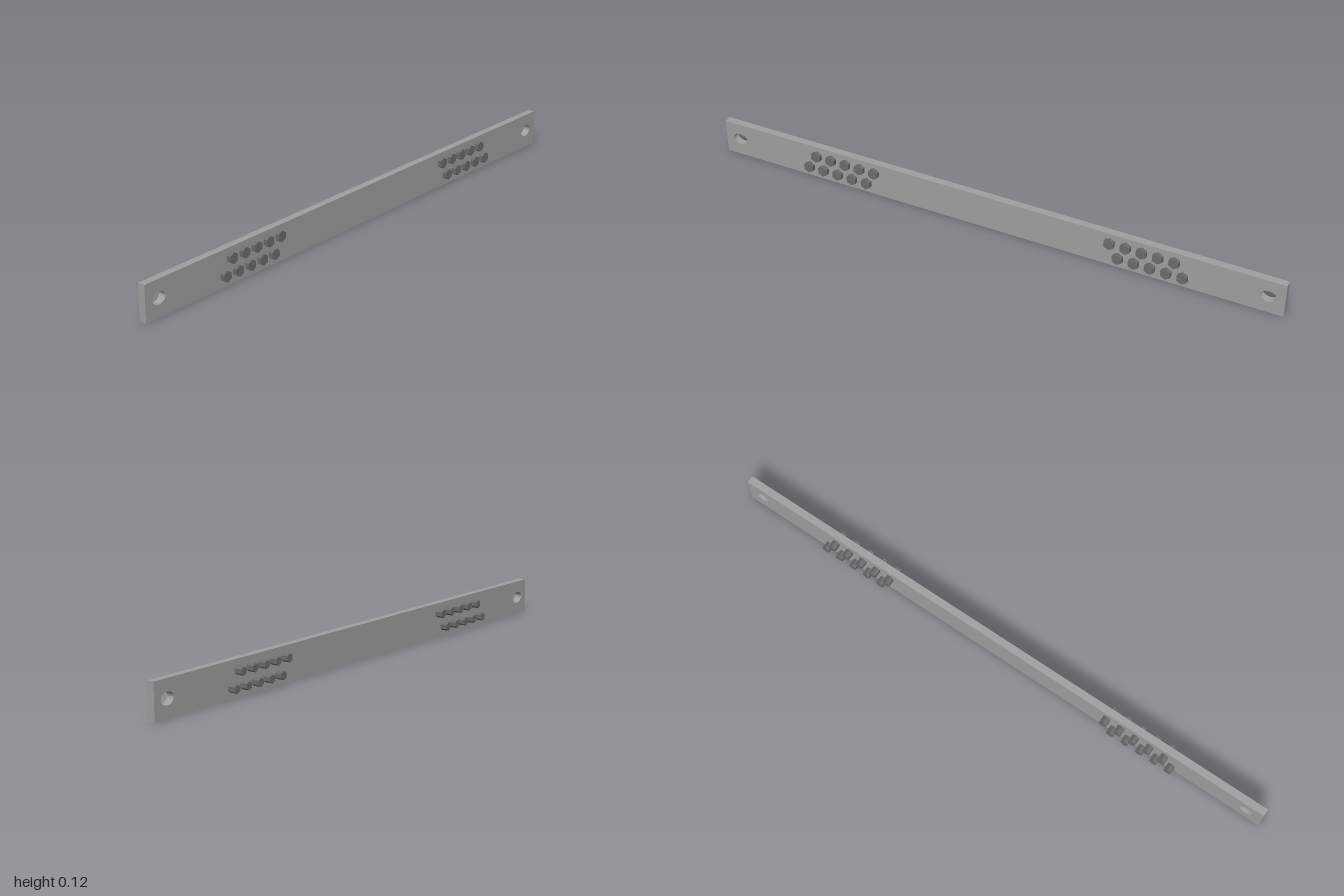
import * as THREE from 'three';

export function createModel() {
  const root = new THREE.Group();
  const plateGrey = new THREE.MeshStandardMaterial({ color: 0xa0a0a0 });
  plateGrey.name = 'plate grey';
  const boltGrey = new THREE.MeshStandardMaterial({ color: 0x6c6c6c });
  boltGrey.name = 'bolt grey';

  const faceX = 0.018, backX = -0.007;

  // flat bar with an oval mounting hole near each end
  const outline = new THREE.Shape([
    new THREE.Vector2(-1, 0), new THREE.Vector2(1, 0),
    new THREE.Vector2(1, 0.12), new THREE.Vector2(-1, 0.12),
  ]);
  for (const s of [-1, 1]) {
    const hole = new THREE.Path();
    hole.absellipse(s * 0.945, 0.061, 0.027, 0.02, 0, Math.PI * 2, true);
    outline.holes.push(hole);
  }
  const plateGeo = new THREE.ExtrudeGeometry(outline, {
    depth: faceX - backX, bevelEnabled: false, curveSegments: 10,
  });
  plateGeo.rotateY(-Math.PI / 2).translate(faceX, 0, 0);
  const plate = new THREE.Mesh(plateGeo, plateGrey);
  plate.name = 'plate';
  root.add(plate);

  // hexagonal prism along x, with a corner pointing up
  function hexPrism(radius, x0, x1) {
    return new THREE.CylinderGeometry(radius, radius, x1 - x0, 6, 1, false, Math.PI / 6)
      .toNonIndexed()
      .rotateZ(-Math.PI / 2)
      .translate((x0 + x1) / 2, 0, 0);
  }
  const headGeo = hexPrism(0.019, faceX, 0.032);
  const shankGeo = hexPrism(0.0142, -0.033, faceX);
  for (const g of [headGeo, shankGeo]) g.computeVertexNormals();

  // two staggered rows of five bolts toward each end
  const rows = [{ y: 0.086, z: 0.422 }, { y: 0.037, z: 0.452 }];
  for (const side of [-1, 1]) {
    const cluster = new THREE.Group();
    cluster.name = side > 0 ? 'frontBolts' : 'backBolts';
    for (const row of rows) {
      for (let i = 0; i < 5; i++) {
        const bolt = new THREE.Group();
        bolt.name = 'bolt';
        const head = new THREE.Mesh(headGeo, boltGrey);
        head.name = 'boltHead';
        const shank = new THREE.Mesh(shankGeo, boltGrey);
        shank.name = 'boltShank';
        bolt.add(head, shank);
        bolt.position.set(0, row.y, side * (row.z + i * 0.0545));
        cluster.add(bolt);
      }
    }
    root.add(cluster);
  }
  return root;
}
